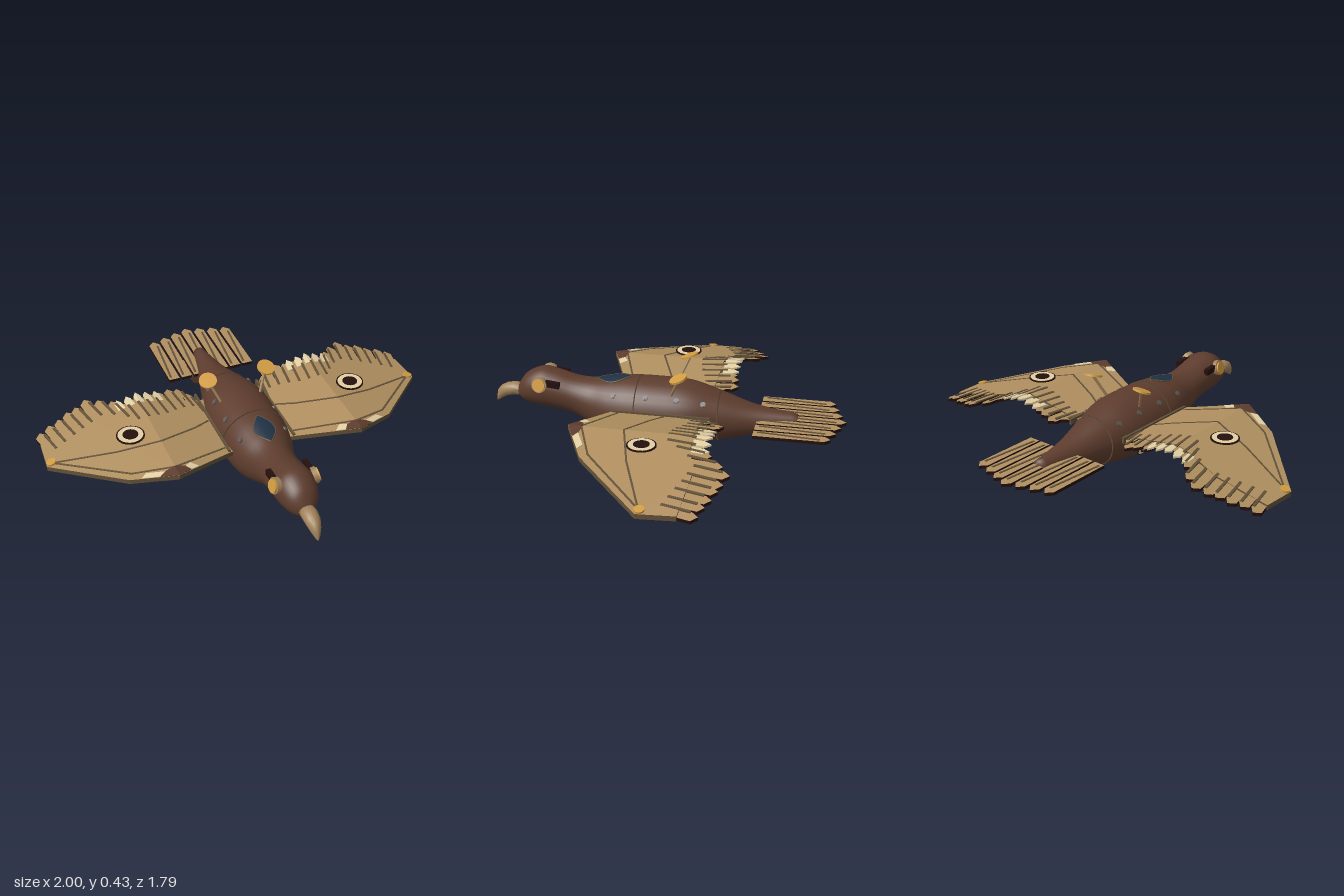
import * as THREE from 'three';
import { mergeGeometries } from 'three/addons/utils/BufferGeometryUtils.js';

const mat = (name, color) => Object.assign(new THREE.MeshStandardMaterial({ color }), { name });
const V = (x, y, z) => new THREE.Vector3(x, y, z);
const FOLD = 0.47;
// Height of the wing's upper face: rises to the elbow, then droops to the tip
const wingY = x => x < FOLD ? 0.272 - (FOLD - x) * 0.19 : 0.272 - (x - FOLD) * 0.245;

// Hull from sections [z, half width, top, bottom], listed front to back
function loft(sections, segs = 32) {
  const pos = [], idx = [];
  sections.forEach(([z, w, top, bot]) => {
    for (let j = 0; j < segs; j++) {
      const a = j / segs * Math.PI * 2;
      pos.push(w * Math.cos(a), (top + bot) / 2 + (top - bot) / 2 * Math.sin(a), z);
    }
  });
  for (let i = 0; i < sections.length - 1; i++) for (let j = 0; j < segs; j++) {
    const a = i * segs + j, b = i * segs + (j + 1) % segs;
    idx.push(a, a + segs, b, b, a + segs, b + segs);
  }
  const last = (sections.length - 1) * segs;
  for (let j = 1; j < segs - 1; j++) {
    idx.push(0, j, j + 1, last, last + j + 1, last + j);
  }
  const g = new THREE.BufferGeometry();
  g.setAttribute('position', new THREE.Float32BufferAttribute(pos, 3));
  g.setIndex(idx);
  g.computeVertexNormals();
  return g;
}

// Keep the part of a polygon on one side of the elbow
function clip(pts, side) {
  const out = [];
  pts.forEach((p, i) => {
    const q = pts[(i + 1) % pts.length];
    const dp = (p[0] - FOLD) * side, dq = (q[0] - FOLD) * side;
    if (dp >= 0) out.push(p);
    if (dp * dq < 0) out.push([FOLD, p[1] + (q[1] - p[1]) * dp / (dp - dq)]);
  });
  return out;
}

// Flat plate with an [x, z] outline, draped over a height rule; group 0 is the faces, group 1 the edges
function plate(pts, offset, thick, height = wingY) {
  const parts = [-1, 1].map(s => clip(pts, s)).filter(p => p.length > 2).map(poly => {
    const shape = new THREE.Shape(poly.map(([x, z]) => new THREE.Vector2(x, -z)));
    const g = new THREE.ExtrudeGeometry(shape, { depth: thick, bevelEnabled: false }).rotateX(-Math.PI / 2);
    const p = g.attributes.position;
    for (let i = 0; i < p.count; i++) p.setY(i, p.getY(i) + height(p.getX(i)) + offset - thick);
    g.computeVertexNormals();
    return g;
  });
  const merged = mergeGeometries(parts);
  let base = 0;
  parts.forEach(g => {
    g.groups.forEach(r => merged.addGroup(base + r.start, r.count, r.materialIndex));
    base += g.attributes.position.count;
  });
  return merged;
}

// Thin line drawn along [x, z] points
const stroke = (pts, w, offset, height) => mergeGeometries(pts.slice(1).map((b, i) => {
  const a = pts[i], l = Math.hypot(b[0] - a[0], b[1] - a[1]);
  const nx = -(b[1] - a[1]) / l * w / 2, nz = (b[0] - a[0]) / l * w / 2;
  return plate([[a[0] + nx, a[1] + nz], [b[0] + nx, b[1] + nz], [b[0] - nx, b[1] - nz], [a[0] - nx, a[1] - nz]], offset, 0.006, height);
}));

// Pointed feather from [x0, z0] to the tip [x1, z1]
const feather = (x0, z0, x1, z1, w) =>
  [[x0 - w / 2, z0], [x0 + w / 2, z0], [x1 + w / 2, z1 + 0.03], [x1, z1], [x1 - w / 2, z1 + 0.03]];

export function createModel() {
  const brown = mat('brown hull', 0x5d3c2d), tan = mat('tan feathers', 0xb08f60), beakTan = mat('beak horn', 0xa0825a);
  const cream = mat('cream paint', 0xe2cfa4), gold = mat('gold', 0xd29c42), dark = mat('dark maroon', 0x240f0d);
  const seam = mat('seam olive', 0x625138), glass = mat('blue glass', 0x203144), steel = mat('bolt steel', 0x555c66);

  const root = new THREE.Group();
  const add = (parent, name, geo, m) => {
    const mesh = new THREE.Mesh(geo, m);
    mesh.name = name;
    parent.add(mesh);
    return mesh;
  };
  // Cylinder between two points
  const rod = (parent, name, a, b, r, m) => {
    const mesh = add(parent, name, new THREE.CylinderGeometry(r, r, a.distanceTo(b), 20), m);
    mesh.position.copy(a).add(b).multiplyScalar(0.5);
    mesh.quaternion.setFromUnitVectors(V(0, 1, 0), b.clone().sub(a).normalize());
    return mesh;
  };
  const disc = (parent, name, c, n, r, t, m) => {
    const d = n.clone().normalize().multiplyScalar(t / 2);
    return rod(parent, name, c.clone().sub(d), c.clone().add(d), r, m);
  };
  const roundel = (parent, c, n, r) => [[1, dark], [0.9, cream], [0.55, dark]].forEach(([k, m], i) =>
    disc(parent, 'roundelRing' + i, c, n, r * k, 0.006 + i * 0.003, m));

  // Body
  const stations = [[0.775, 0.03, 0.25, 0.19], [0.73, 0.075, 0.315, 0.165], [0.65, 0.1, 0.354, 0.15], [0.57, 0.1, 0.345, 0.14],
    [0.47, 0.1, 0.318, 0.12], [0.38, 0.115, 0.312, 0.068], [0.29, 0.145, 0.325, 0.025], [0.19, 0.165, 0.338, 0.008],
    [0.04, 0.171, 0.341, 0.01], [-0.12, 0.164, 0.334, 0.018], [-0.27, 0.125, 0.293, 0.045], [-0.45, 0.077, 0.237, 0.088], [-0.655, 0.034, 0.208, 0.128]];
  const curves = [1, 2, 3].map(k => new THREE.SplineCurve(stations.map(s => new THREE.Vector2(s[0], s[k]))));
  const at = t => [curves[0].getPoint(t).x, ...curves.map(c => c.getPoint(t).y)];
  const section = z => {
    let lo = 0, hi = 1;
    for (let i = 0; i < 30; i++) {
      const m = (lo + hi) / 2;
      if (curves[0].getPoint(m).x > z) lo = m; else hi = m;
    }
    return at(lo);
  };
  add(root, 'body', loft(Array.from({ length: 61 }, (_, i) => at(i / 60))), brown);
  [0.14, -0.27].forEach(z => add(root, 'bodySeam', loft([0.0025, -0.0025].map(d => {
    const [sz, w, t, b] = section(z + d);
    return [sz, w + 0.002, t + 0.002, b - 0.002];
  })), seam));
  add(root, 'beak', loft([[0.899, 0.003, 0.17, 0.148], [0.89, 0.014, 0.21, 0.15], [0.87, 0.026, 0.235, 0.163],
    [0.84, 0.036, 0.25, 0.18], [0.8, 0.04, 0.258, 0.19], [0.75, 0.037, 0.252, 0.19]], 20), beakTan);

  // Canopy: leaf laid on the back
  const onBack = (x, z, lift) => {
    const [, w, t, b] = section(z);
    return V(x, (t + b) / 2 + (t - b) / 2 * Math.sqrt(1 - (x / w) ** 2) + lift, z);
  };
  const leaf = s => 0.052 * Math.sin(Math.PI * s);
  const canopy = new THREE.PlaneGeometry(1, 1, 8, 16), cp = canopy.attributes.position;
  for (let i = 0; i < cp.count; i++) {
    const s = cp.getY(i) + 0.5, p = onBack(cp.getX(i) * 2 * leaf(s), 0.36 - 0.18 * s, 0.005);
    cp.setXYZ(i, p.x, p.y, p.z);
  }
  canopy.computeVertexNormals();
  add(root, 'canopy', canopy, glass);
  const rim = Array.from({ length: 24 }, (_, i) => {
    const s = i < 12 ? i / 12 : 2 - i / 12;
    return onBack((i < 12 ? 1 : -1) * leaf(s), 0.36 - 0.18 * s, 0.003);
  });
  add(root, 'canopyRim', new THREE.TubeGeometry(new THREE.CatmullRomCurve3(rim, true), 48, 0.004, 6, true), seam);

  // Tail feathers
  const tailY = () => 0.184;
  for (let i = -3; i <= 3; i++) {
    const x = i * 0.069, z = -0.895 + Math.abs(i) * 0.021;
    add(root, 'tailFeather', plate(feather(x, -0.46, x, z, 0.057), 0, 0.016, tailY), [tan, dark]);
    add(root, 'tailQuill', stroke([[x - 0.014, -0.48], [x + 0.012, z + 0.05]], 0.01, 0.003, tailY), seam);
  }

  // Everything that is paired
  [1, -1].forEach(side => {
    const g = new THREE.Group();
    g.name = side > 0 ? 'leftSide' : 'rightSide';
    g.scale.x = side;
    root.add(g);

    // Wing panel and leading edge patches
    add(g, 'wing', plate([[0.1, 0.23], [0.17, 0.25], [FOLD, 0.38], [0.68, 0.27], [1, -0.06], [0.99, -0.24],
      [0.72, -0.26], [0.55, -0.22], [0.1, -0.2]], 0, 0.024), [tan, seam]);
    add(g, 'elbowPatch', plate([[0.4, 0.347], [FOLD, 0.379], [0.55, 0.337], [0.52, 0.318], [0.46, 0.308], [0.42, 0.318]], 0.003, 0.03), brown);
    add(g, 'elbowTrim', plate([[0.355, 0.328], [0.4, 0.347], [0.42, 0.318], [0.39, 0.295]], 0.003, 0.009), cream);
    add(g, 'elbowTrim', plate([[0.55, 0.337], [0.63, 0.294], [0.6, 0.275], [0.52, 0.318]], 0.003, 0.009), cream);
    add(g, 'wingRoot', new THREE.BoxGeometry(0.012, 0.03, 0.49), seam).position.set(0.17, 0.21, 0);

    // Trailing feathers: [tip x, tip z]
    const tips = [[0.21, -0.27], [0.245, -0.325], [0.295, -0.32], [0.345, -0.305], [0.395, -0.285], [0.445, -0.275], [0.495, -0.27], [0.545, -0.275],
      [0.595, -0.325], [0.65, -0.385], [0.71, -0.425], [0.765, -0.405], [0.815, -0.39], [0.865, -0.37], [0.92, -0.35], [0.972, -0.33]];
    tips.forEach(([x, z], i) => {
      const drop = -0.002 - (i % 2) * 0.006;
      add(g, 'wingFeather', plate(feather(x * 0.96, -0.12, x, z, 0.054), drop, 0.016), [tan, dark]);
      const lean = x < 0.55 ? 0.035 : 0.045;
      add(g, 'featherGroove', stroke([[x - lean, z + 0.17], [x - 0.018, z + 0.035]], 0.012, 0.003), seam);
      // Pale under-feathers where the trailing edge dips
      if (x > 0.34 && x < 0.56)
        add(g, 'covertTip', plate(feather(x + 0.018, -0.225, x + 0.024, -0.31, 0.036), 0.001, 0.009), cream);
    });

    // Wing panel lines
    [[[0.18, -0.02], [0.27, 0.03], [FOLD, 0.11], [0.68, 0.05], [0.97, -0.07]],
      [[0.18, 0.21], [FOLD, 0.315], [0.66, 0.235], [0.97, -0.07]]].forEach(l =>
      add(g, 'wingLine', stroke(l, 0.009, 0.002), seam));
    roundel(g, V(0.59, 0.262, 0), V(0, 1, 0), 0.07);
    disc(g, 'wingTipCap', V(0.975, wingY(0.975) + 0.002, -0.075), V(0.25, 1, 0), 0.024, 0.014, gold);

    // Eye and goggle strap
    disc(g, 'eyeRing', V(0.098, 0.295, 0.635), V(1, 0.25, 0.1), 0.04, 0.022, beakTan);
    disc(g, 'eye', V(0.105, 0.295, 0.635), V(1, 0.25, 0.1), 0.033, 0.026, gold);
    const strap = add(g, 'goggleStrap', new THREE.BoxGeometry(0.025, 0.03, 0.085), dark);
    strap.position.set(0.092, 0.3, 0.575);
    strap.rotation.x = -0.1;

    // Dish on a stalk
    rod(g, 'dishStalk', V(0.105, 0.3, -0.04), V(0.153, 0.408, -0.087), 0.007, beakTan);
    disc(g, 'dish', V(0.155, 0.412, -0.085), V(0.1, 0.9, 0.34), 0.045, 0.01, gold);

    // Barrels under the wing
    [[0.205, -0.1], [0.25, 0.02]].forEach(([x, z]) => {
      rod(g, 'barrel', V(x, 0.155, z - 0.035), V(x, 0.155, z + 0.045), 0.022, dark);
      rod(g, 'barrelCollar', V(x, 0.155, z - 0.041), V(x, 0.155, z - 0.033), 0.024, beakTan);
      rod(g, 'barrelMount', V(x, 0.155, z), V(x, wingY(x) - 0.01, z), 0.008, dark);
    });
    roundel(g, V(0.156, 0.102, -0.07), V(1, -0.5, 0), 0.042);

    // Tail nozzle
    rod(g, 'nozzle', V(0.07, 0.142, -0.48), V(0.07, 0.138, -0.6), 0.035, brown);
    rod(g, 'nozzleBand', V(0.07, 0.138, -0.585), V(0.07, 0.138, -0.63), 0.037, beakTan);
    disc(g, 'nozzleRim', V(0.07, 0.138, -0.632), V(0, 0, 1), 0.034, 0.01, gold);
    disc(g, 'nozzleHole', V(0.07, 0.138, -0.635), V(0, 0, 1), 0.018, 0.01, dark);

    // Bolts along the flank
    [0.25, 0.085, -0.07, -0.2].forEach(z => {
      const [, w, t, b] = section(z), a = 0.72;
      const p = V(w * Math.cos(a), (t + b) / 2 + (t - b) / 2 * Math.sin(a), z);
      disc(g, 'boltCollar', p, V(Math.cos(a), Math.sin(a), 0), 0.014, 0.008, seam);
      disc(g, 'bolt', p, V(Math.cos(a), Math.sin(a), 0), 0.01, 0.014, steel);
    });
  });
  return root;
}
